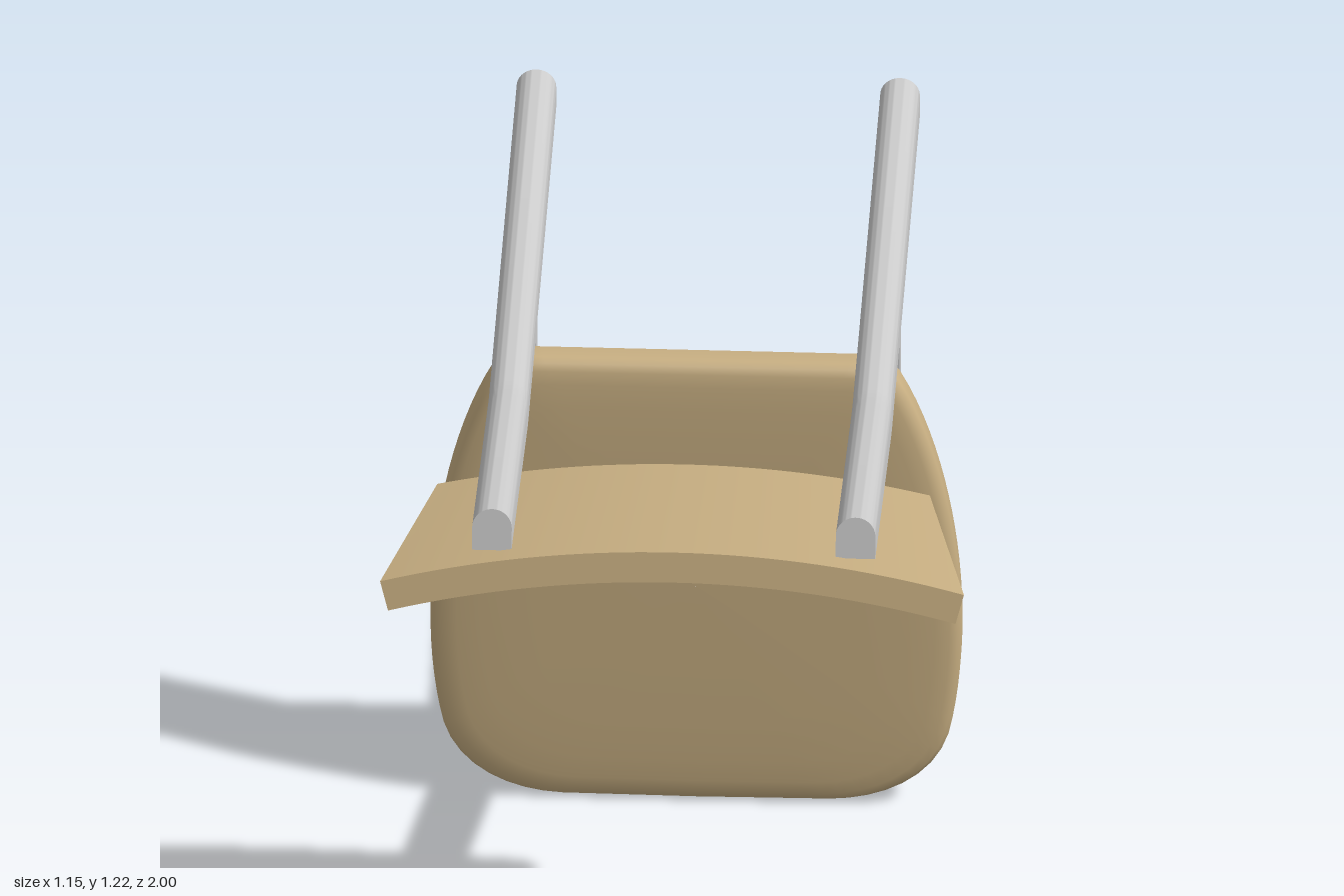
import * as THREE from 'three';
import { toCreasedNormals, mergeVertices } from 'three/addons/utils/BufferGeometryUtils.js';

const frameMat = new THREE.MeshStandardMaterial({ color: 0xcccccc });
const woodMat = new THREE.MeshStandardMaterial({ color: 0xc9b083 });
const LEG_X = 0.358, HALF = 0.039, LEG_H = 0.086;
const TILT = Math.atan(0.19);

function add(parent, name, geo, mat) {
  const mesh = new THREE.Mesh(geo, mat);
  mesh.name = name;
  parent.add(mesh);
  return mesh;
}

// D-shaped bar (flat below, round above) swept along path points [z, y, tilt]
function dBar(path) {
  const s = new THREE.Shape();
  s.moveTo(-HALF, 0);
  s.lineTo(HALF, 0);
  s.lineTo(HALF, LEG_H - HALF);
  s.absarc(0, LEG_H - HALF, HALF, 0, Math.PI, false);
  s.closePath();
  const steps = path.length - 1;
  const geo = new THREE.ExtrudeGeometry(s, { depth: steps, steps, bevelEnabled: false, curveSegments: 16 });
  const p = geo.attributes.position;
  for (let i = 0; i < p.count; i++) {
    const [z, y, a] = path[Math.round(p.getZ(i))];
    const h = p.getY(i);
    p.setXYZ(i, p.getX(i), y + h * Math.cos(a), z - h * Math.sin(a));
  }
  return toCreasedNormals(geo, 0.6);
}

// Rounded seat panel: outline rings shrunk and stepped in thickness
function seatGeometry() {
  const s = new THREE.Shape();
  s.moveTo(0, 0);
  s.lineTo(0.27, 0.002);
  s.bezierCurveTo(0.4, 0.01, 0.48, 0.08, 0.5, 0.17);
  s.bezierCurveTo(0.515, 0.24, 0.523, 0.32, 0.523, 0.4);
  s.bezierCurveTo(0.523, 0.62, 0.47, 0.85, 0.39, 0.98);
  s.quadraticCurveTo(0.375, 1, 0.34, 1);
  s.lineTo(0, 1);
  const half = s.getSpacedPoints(48);
  const outline = [...half, ...half.slice(1, -1).reverse().map(p => new THREE.Vector2(-p.x, p.y))];
  const face = [[0.001, 0.05], [0.6, 0.049], [0.8, 0.046], [0.9, 0.043], [0.955, 0.039], [0.985, 0.032], [1, 0.02]];
  const rings = [...face, ...face.slice().reverse().map(([r, z]) => [r, -z])];
  const n = outline.length, pos = [], idx = [];
  rings.forEach(([r, z]) => outline.forEach(p => pos.push(p.x * r, 0.5 + (p.y - 0.5) * r, z)));
  for (let j = 0; j < rings.length - 1; j++) {
    for (let i = 0; i < n; i++) {
      const a = j * n + i, b = j * n + (i + 1) % n;
      idx.push(a, a + n, b, b, a + n, b + n);
    }
  }
  const geo = new THREE.BufferGeometry();
  geo.setAttribute('position', new THREE.Float32BufferAttribute(pos, 3));
  geo.setIndex(idx);
  const merged = mergeVertices(geo, 1e-5);
  merged.computeVertexNormals();
  return merged;
}

// Tapered panel bent around a long cylinder whose axis runs front to back
function backrestGeometry() {
  const R = 2.185, T = 0.063, L = 0.502;
  const geo = new THREE.BoxGeometry(2, 1, 1, 32, 1, 1);
  const p = geo.attributes.position;
  for (let i = 0; i < p.count; i++) {
    const front = p.getZ(i) + 0.5;
    const angle = p.getX(i) * (0.475 + 0.09 * front) / R;
    const r = R + T * (p.getY(i) + 0.5);
    p.setXYZ(i, r * Math.sin(angle), r * Math.cos(angle) - R, (front - 1) * L);
  }
  geo.deleteAttribute('normal');
  return toCreasedNormals(geo, 0.6);
}

export function createModel() {
  const chair = new THREE.Group();
  chair.name = 'chair';

  // Seat
  add(chair, 'seat', seatGeometry(), woodMat).position.z = -0.067;

  // Curved backrest
  const back = add(chair, 'backrest', backrestGeometry(), woodMat);
  back.rotation.x = -TILT;
  back.position.set(0, 1.11, 0.986);

  // Long rear legs that bend to carry the backrest
  const rearPath = [[-1, 1, 0], [0.19, 1, 0], [0.23, 1.004, TILT / 2], [0.27, 1.0115, TILT], [0.92, 1.135, TILT]];
  const frontPath = [[-1, 0, 0], [-0.115, 0, 0]];
  for (const [side, label] of [[1, 'left'], [-1, 'right']]) {
    add(chair, label + 'RearLeg', dBar(rearPath), frameMat).position.x = side * LEG_X;

    // Short front legs, rounded outward
    const leg = add(chair, label + 'FrontLeg', dBar(frontPath), frameMat);
    leg.rotation.z = Math.PI;
    leg.position.set(side * LEG_X, 0.18, 0);

    // Side rails under the seat
    add(chair, label + 'SeatRail', new THREE.BoxGeometry(HALF * 2, 0.82, 0.08), frameMat)
      .position.set(side * LEG_X, 0.59, -0.157);
  }

  // Cross rail between the front legs
  add(chair, 'frontCrossRail', new THREE.BoxGeometry((LEG_X - HALF) * 2, 0.078, 0.08), frameMat)
    .position.set(0, 0.141, -0.157);

  return chair;
}
